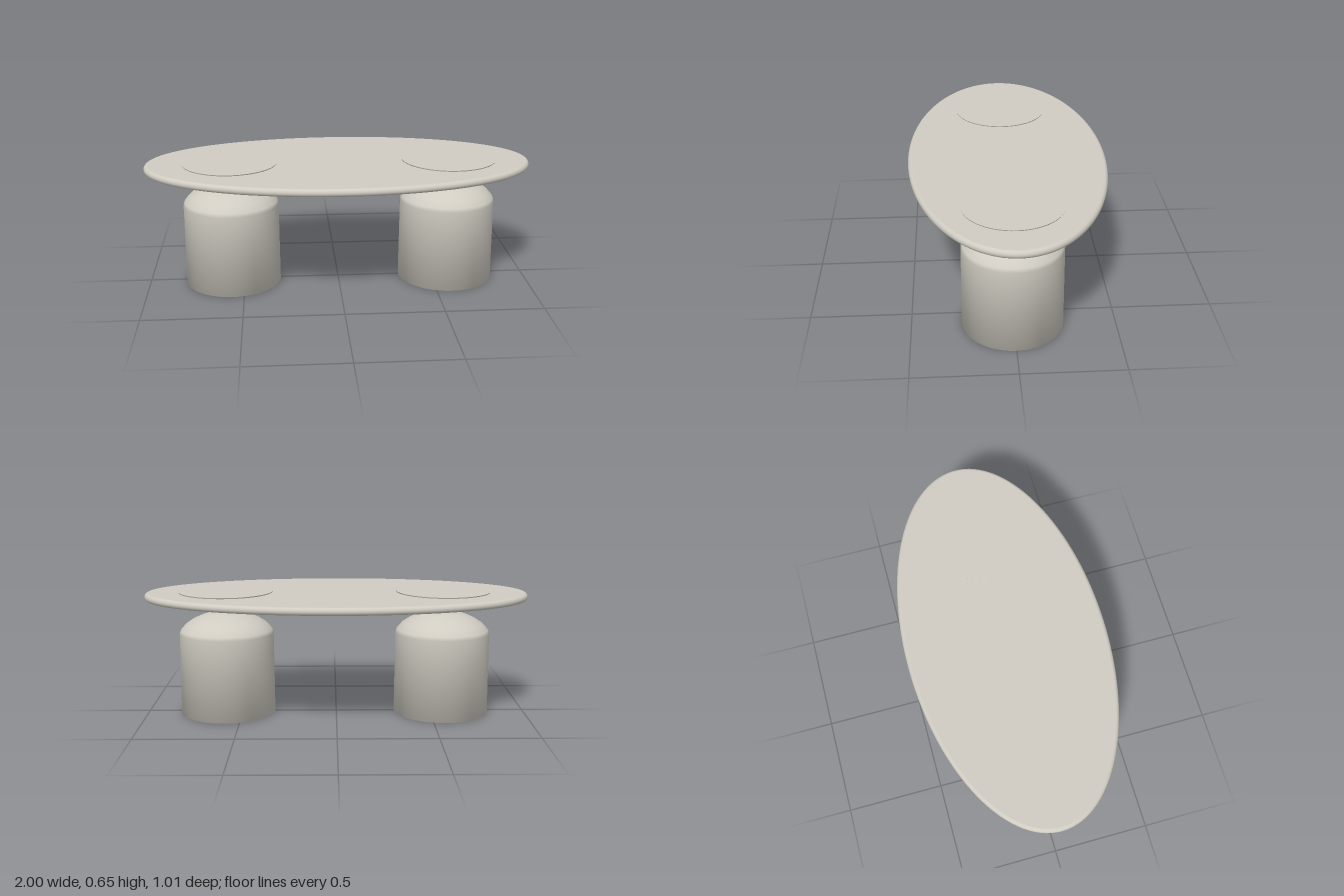
import * as THREE from 'three';
import { mergeVertices } from 'three/addons/utils/BufferGeometryUtils.js';

const v = (x, y) => new THREE.Vector2(x, y);

// Oval slab with an evenly rounded rim: a round lathe squeezed to an ellipse.
function ovalTop(rx, rz, bottom, top) {
  const edge = (top - bottom) / 2, mid = (top + bottom) / 2, inner = rx - edge;
  const profile = [v(0, bottom)];
  for (let i = 0; i <= 10; i++) {
    const a = -Math.PI / 2 + (Math.PI * i) / 10;
    profile.push(v(inner + edge * Math.cos(a), mid + edge * Math.sin(a)));
  }
  profile.push(v(0, top));
  let geo = new THREE.LatheGeometry(profile, 128);
  const p = geo.attributes.position;
  for (let i = 0; i < p.count; i++) {
    const x = p.getX(i), z = p.getZ(i), r = Math.hypot(x, z);
    if (r < 1e-6) continue;
    // Rim keeps its width, the flat inside is scaled
    const depth = r > inner ? rz - edge + (r - inner) : (r * (rz - edge)) / inner;
    p.setZ(i, (z / r) * depth);
  }
  geo.deleteAttribute('uv');
  geo.deleteAttribute('normal');
  geo = mergeVertices(geo, 1e-5);
  geo.computeVertexNormals();
  return geo;
}

export function createModel() {
  const stone = new THREE.MeshStandardMaterial({ color: 0xd0ccc2 });
  stone.name = 'warm grey stone';
  const model = new THREE.Group();
  model.name = 'ovalTable';

  const add = (parent, name, geo) => {
    const mesh = new THREE.Mesh(geo, stone);
    mesh.name = name;
    parent.add(mesh);
  };

  add(model, 'tableTop', ovalTop(1, 0.505, 0.605, 0.645));

  // Half dome outline, from its rim to the neck: radius and distance from the neck
  const dome = [[0.247, 0.113], [0.24, 0.095], [0.213, 0.065], [0.175, 0.04],
    [0.13, 0.02], [0.085, 0.007], [0.045, 0.001]];
  const neck = 0.541;

  // Domed column, softly shaded down to its foot
  const column = new THREE.LatheGeometry(
    [v(0, 0), v(0.25, 0), ...dome.map(([r, d]) => v(r, neck - d)), v(0, neck)], 64);
  // Bowl mirroring the dome, passing up through the top
  const bowl = new THREE.LatheGeometry(
    [v(0, neck), ...[...dome].reverse().map(([r, d]) => v(r, neck + d * 0.97))], 64);
  // Thin inlaid disc closing the bowl
  const disc = new THREE.CircleGeometry(0.247, 64).rotateX(-Math.PI / 2)
    .translate(0, neck + 0.113 * 0.97, 0);

  for (const [name, x] of [['rightLeg', -0.56], ['leftLeg', 0.578]]) {
    const leg = new THREE.Group();
    leg.name = name;
    leg.position.set(x, 0, 0.004);
    add(leg, 'column', column);
    add(leg, 'bowl', bowl);
    add(leg, 'inlayDisc', disc);
    model.add(leg);
  }
  return model;
}
